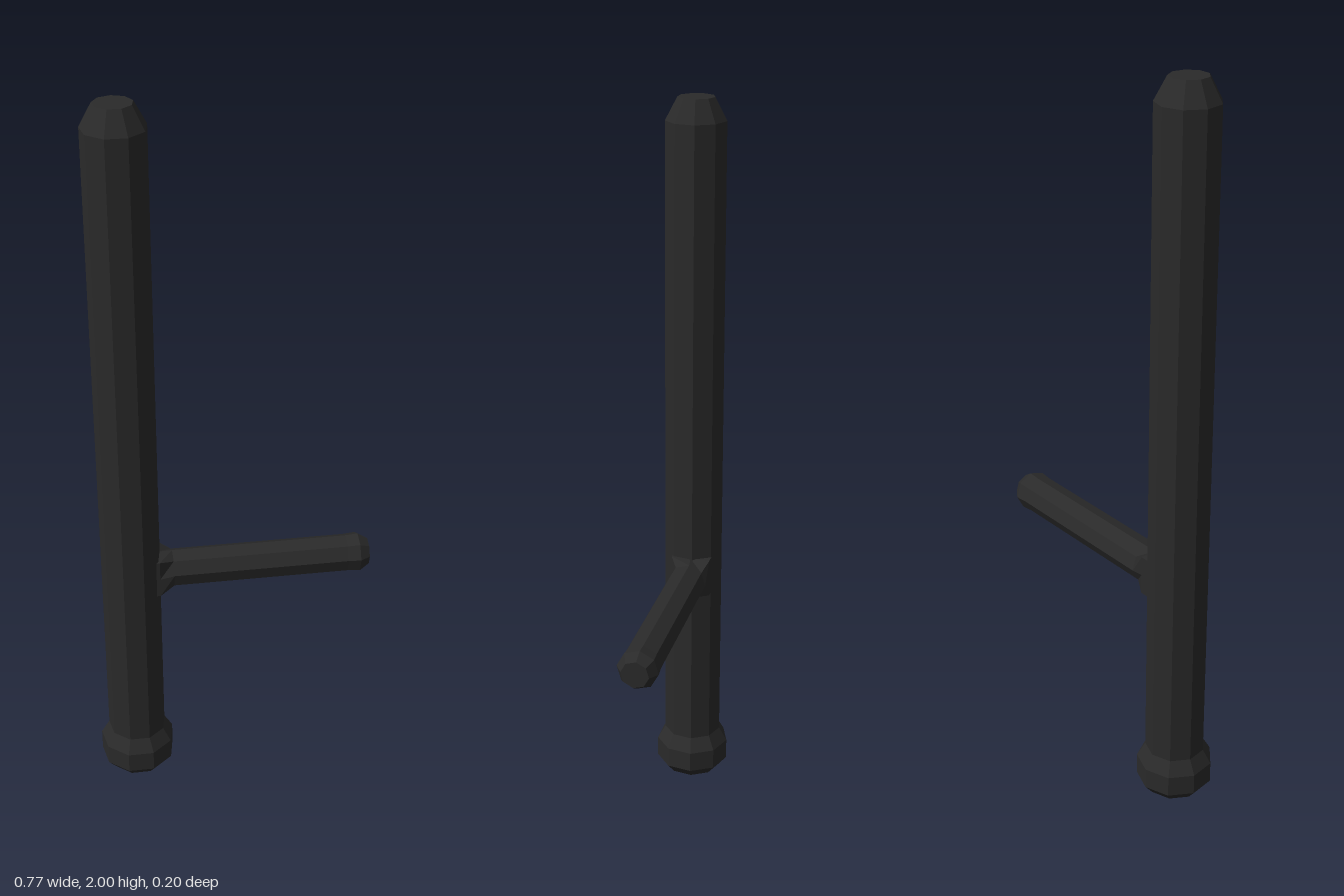
import * as THREE from 'three';

const material = new THREE.MeshStandardMaterial({ color: 0x2a2a2a, flatShading: true });

// Faceted turned solid from [radius, height] pairs, bottom to top.
function turned(profile, sides) {
  return new THREE.LatheGeometry(profile.map(([r, y]) => new THREE.Vector2(r, y)), sides);
}

function addPart(group, name, geometry) {
  const flat = geometry.toNonIndexed();
  flat.computeVertexNormals();
  const mesh = new THREE.Mesh(flat, material);
  mesh.name = name;
  group.add(mesh);
  return mesh;
}

export function createModel() {
  const group = new THREE.Group();
  group.name = 'sideHandleBaton';

  // Nine-sided shaft with a wider pommel below and a bevelled tip
  const shaft = addPart(group, 'shaft', turned([
    [0, 0], [0.08, 0], [0.105, 0.03], [0.105, 0.09], [0.082, 0.13],
    [0.082, 1.94], [0.05, 2], [0, 2],
  ], 9).rotateY(Math.PI));
  shaft.position.x = -0.28;

  // Eight-sided side handle along x, with a rounded knob at its end
  const handle = turned([
    [0, -0.25], [0.055, -0.25], [0.055, -0.205], [0.053, -0.165],
    [0.053, 0.32], [0.056, 0.355], [0.038, 0.383], [0, 0.383],
  ], 8).rotateZ(-Math.PI / 2);

  // Square off the root where it meets the shaft; twist the rest slightly
  const p = handle.attributes.position;
  const twist = -0.11;
  for (let i = 0; i < p.count; i++) {
    const y = p.getY(i), z = p.getZ(i), r = Math.hypot(y, z);
    if (r < 1e-6) continue;
    if (p.getX(i) < -0.2) {
      const k = r / Math.max(Math.abs(y), Math.abs(z));
      p.setXYZ(i, p.getX(i), y * k, z * k);
    } else {
      const a = Math.atan2(z, y) + twist;
      p.setXYZ(i, p.getX(i), r * Math.cos(a), r * Math.sin(a));
    }
  }
  addPart(group, 'sideHandle', handle).position.set(0, 0.665, -0.009);

  return group;
}
